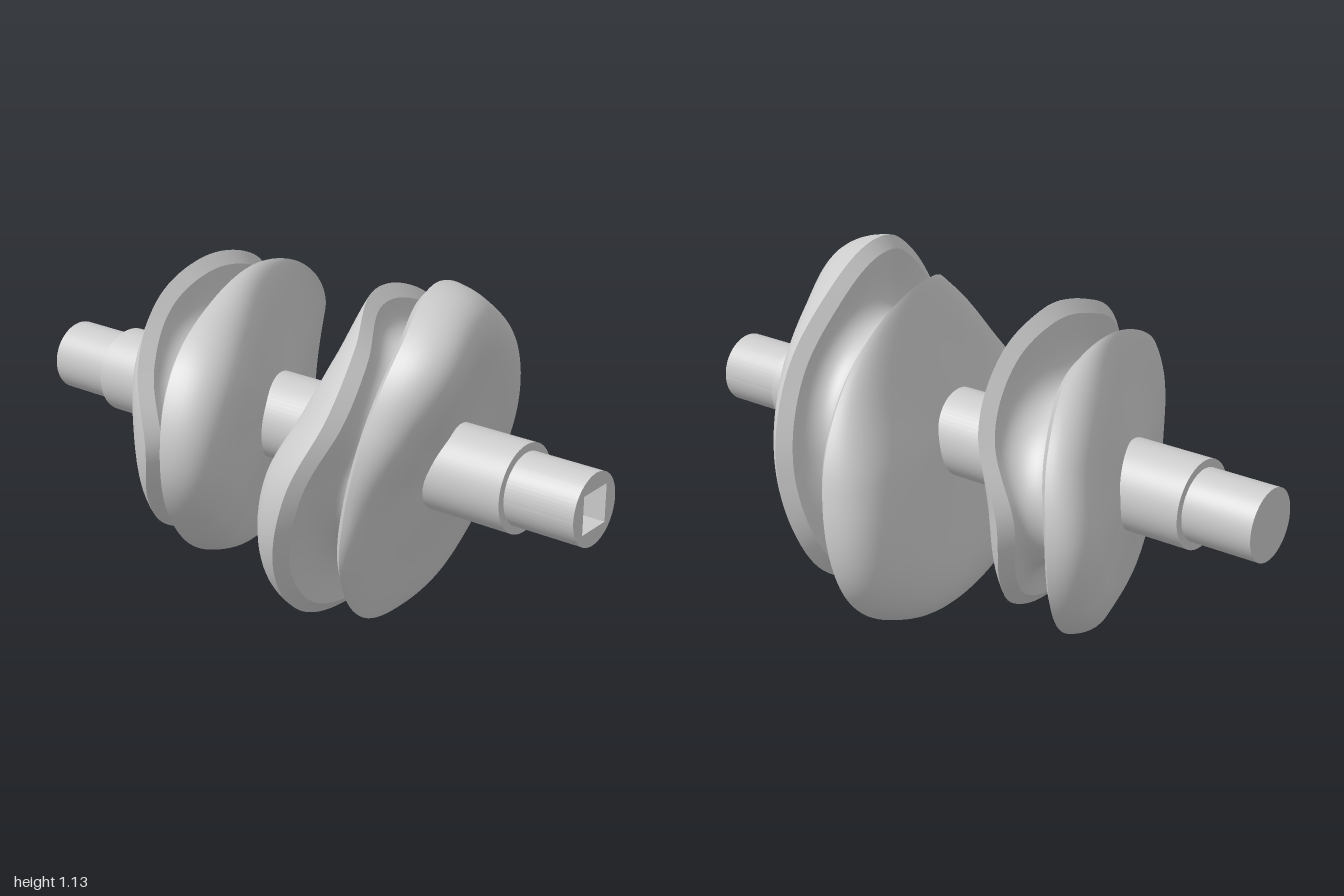
import * as THREE from 'three';
import { mergeGeometries, toCreasedNormals } from 'three/addons/utils/BufferGeometryUtils.js';

const AXIS_X = -0.02, AXIS_Y = 0.57, TAU = Math.PI * 2;

// Smooth periodic curve through values placed every 30 degrees from +x
function around(values, angle) {
  const n = values.length, t = (angle / TAU) * n, i = Math.floor(t), f = t - i;
  const [a, b, c, d] = [-1, 0, 1, 2].map(k => values[(i + k + n) % n]);
  return b + 0.5 * f * (c - a + f * (2 * a - 5 * b + 4 * c - d + f * (3 * (b - c) + d - a)));
}

// Closed band swept round the axis; profile(angle) returns [radius, z] points
function sweep(profile, segments = 144) {
  const pos = [], index = [];
  let m = 0;
  for (let s = 0; s < segments; s++) {
    const angle = (s / segments) * TAU, pts = profile(angle);
    m = pts.length;
    for (const [r, z] of pts) pos.push(r * Math.cos(angle), r * Math.sin(angle), z);
  }
  for (let s = 0; s < segments; s++) {
    const p = s * m, q = ((s + 1) % segments) * m;
    for (let i = 0; i < m - 1; i++) index.push(p + i, p + i + 1, q + i + 1, p + i, q + i + 1, q + i);
  }
  const g = new THREE.BufferGeometry();
  g.setAttribute('position', new THREE.Float32BufferAttribute(pos, 3));
  g.setIndex(index);
  g.computeVertexNormals();
  return g;
}

// End face: straight from the shaft to mid radius, then curving on to the sharp rim
function facePoints(face, angle) {
  const R = around(face.radius, angle), zRim = around(face.rim, angle);
  const zMid = around(face.mid, angle), rMid = 0.65 * R;
  const zCtrl = zMid + ((zMid - face.centre) / rMid) * 0.28 * R;
  const pts = [];
  for (let i = 0; i < 6; i++) {
    const t = i / 6;
    pts.push([0.05 + (rMid - 0.05) * t, face.centre + (zMid - face.centre) * t]);
  }
  for (let i = 0; i <= 12; i++) {
    const t = i / 12, u = 1 - t;
    pts.push([
      u * u * rMid + 2 * u * t * R * 0.95 + t * t * R,
      u * u * zMid + 2 * u * t * zCtrl + t * t * zRim,
    ]);
  }
  return pts;
}

// Grooved cam: two wavy flanges with chamfered rims and a U-shaped channel between
function camGeometry({ front, back, floor }) {
  const lip = 0.034, drop = 0.038;
  const rims = a => ({
    rf: around(front.radius, a), zf: around(front.rim, a),
    rb: around(back.radius, a), zb: around(back.rim, a),
  });
  const groove = a => {
    const { rf, zf, rb, zb } = rims(a), pts = [];
    for (let i = 0; i <= 24; i++) {
      const t = (i / 24) * Math.PI, u = (1 - Math.cos(t)) / 2;
      const top = rf + (rb - rf) * u - drop;
      const z = zf - lip + (zb + lip - zf + lip) * u;
      pts.push([top + (floor(a) - top) * Math.pow(Math.abs(Math.sin(t)), 0.65), z]);
    }
    return pts;
  };
  return mergeGeometries([
    sweep(a => facePoints(front, a)),
    sweep(a => { const { rf, zf } = rims(a); return [[rf, zf], [rf - drop, zf - lip]]; }),
    sweep(groove),
    sweep(a => { const { rb, zb } = rims(a); return [[rb - drop, zb + lip], [rb, zb]]; }),
    sweep(a => facePoints(back, a).reverse()),
  ]);
}

const frontCam = {
  front: {
    centre: 0.51,
    radius: [0.56, 0.515, 0.505, 0.553, 0.525, 0.455, 0.43, 0.475, 0.505, 0.508, 0.54, 0.583],
    rim: [0.365, 0.415, 0.43, 0.445, 0.515, 0.49, 0.45, 0.42, 0.38, 0.345, 0.325, 0.305],
    mid: [0.45, 0.5, 0.55, 0.605, 0.64, 0.585, 0.52, 0.47, 0.43, 0.41, 0.395, 0.405],
  },
  back: {
    centre: 0.09,
    radius: [0.588, 0.515, 0.49, 0.48, 0.44, 0.43, 0.48, 0.52, 0.55, 0.568, 0.615, 0.665],
    rim: [0.16, 0.195, 0.2, 0.22, 0.32, 0.335, 0.27, 0.205, 0.16, 0.125, 0.1, 0.1],
    mid: [0.04, 0.11, 0.15, 0.17, 0.18, 0.16, 0.11, 0.08, 0.05, 0.03, 0.015, 0.005],
  },
  floor: a => 0.335 + 0.055 * Math.cos(a + 0.15),
};

const rearCam = {
  front: {
    centre: -0.13,
    radius: [0.45, 0.47, 0.475, 0.48, 0.495, 0.565, 0.58, 0.515, 0.465, 0.455, 0.45, 0.45],
    rim: [-0.37, -0.275, -0.23, -0.217, -0.19, -0.14, -0.11, -0.16, -0.215, -0.245, -0.275, -0.34],
    mid: [-0.25, -0.23, -0.2, -0.155, -0.085, -0.01, -0.005, -0.06, -0.14, -0.195, -0.225, -0.245],
  },
  back: {
    centre: -0.55,
    radius: [0.52, 0.51, 0.47, 0.45, 0.44, 0.45, 0.45, 0.44, 0.44, 0.45, 0.47, 0.51],
    rim: [-0.595, -0.54, -0.465, -0.445, -0.43, -0.365, -0.29, -0.35, -0.42, -0.46, -0.505, -0.57],
    mid: [-0.665, -0.615, -0.55, -0.49, -0.475, -0.46, -0.445, -0.455, -0.475, -0.515, -0.585, -0.645],
  },
  floor: a => 0.3 + 0.045 * Math.cos(2 * a),
};

export function createModel() {
  const model = new THREE.Group();
  model.name = 'grooveCamShaft';
  const material = new THREE.MeshStandardMaterial({ color: 0xcccccc });

  const add = (name, geometry, z = 0) => {
    const mesh = new THREE.Mesh(geometry, material);
    mesh.name = name;
    mesh.position.set(AXIS_X, AXIS_Y, z);
    model.add(mesh);
  };
  const rod = (radius, length) => new THREE.CylinderGeometry(radius, radius, length, 64).rotateX(Math.PI / 2);

  // Shaft: thick middle, plain rear journal, front journal with square socket
  add('shaft', rod(0.137, 1.545), -0.0025);
  add('rearJournal', rod(0.112, 0.23), -0.885);

  const ring = new THREE.Shape().absarc(0, 0, 0.112, 0, TAU, false);
  const h = 0.06;
  ring.holes.push(new THREE.Path([[-h, -h], [-h, h], [h, h], [h, -h]].map(p => new THREE.Vector2(...p))));
  const socket = new THREE.ExtrudeGeometry(ring, { depth: 0.23, bevelEnabled: false, curveSegments: 64 });
  add('frontJournalWithSocket', toCreasedNormals(socket, 0.6), 0.77);

  // Cams
  add('frontCam', camGeometry(frontCam));
  add('rearCam', camGeometry(rearCam));
  return model;
}
